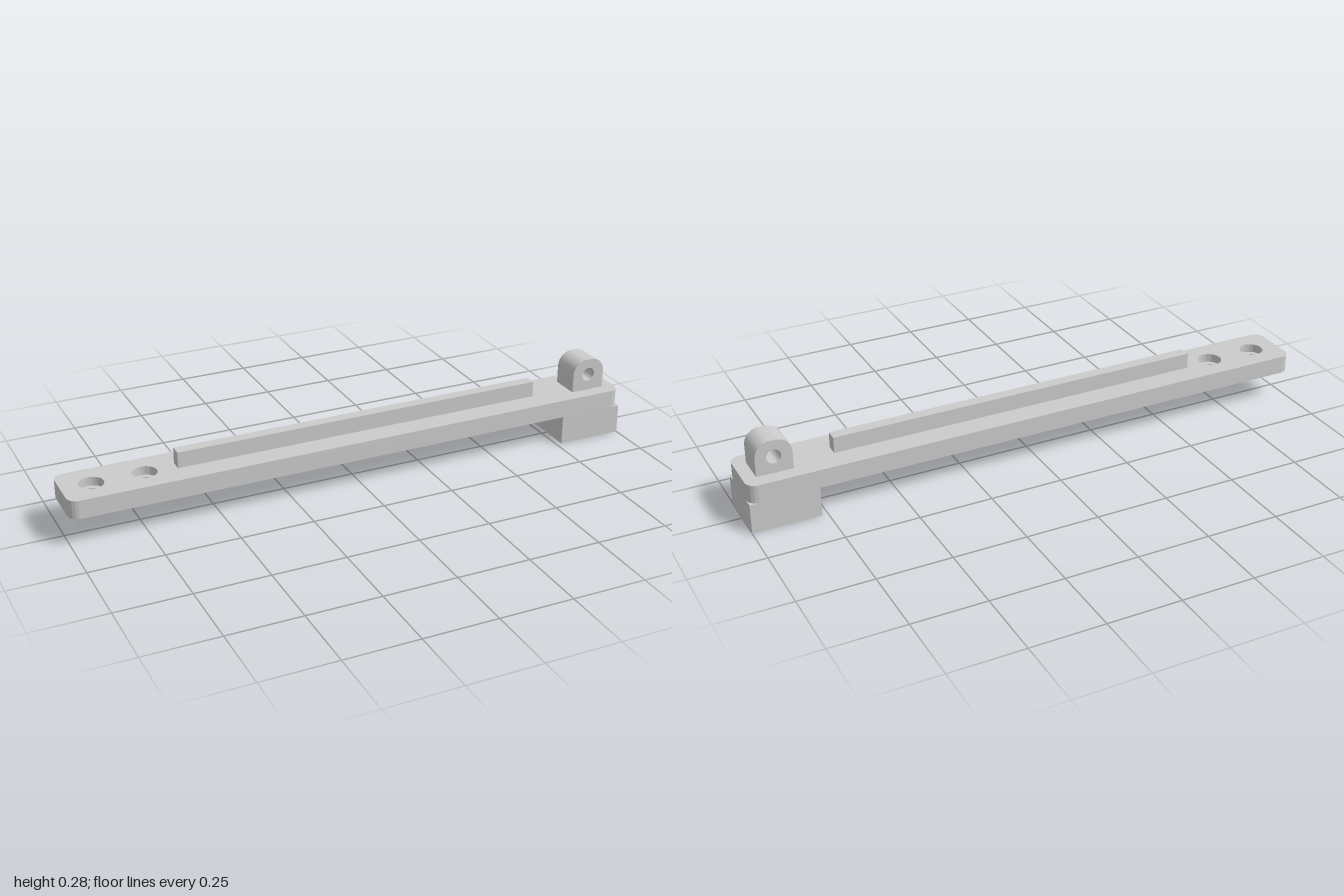
import * as THREE from 'three';
import { toCreasedNormals } from 'three/addons/utils/BufferGeometryUtils.js';

const material = new THREE.MeshStandardMaterial({ color: 0xcccccc });
const PLATE_BOTTOM = 0.102, PLATE_TOP = 0.165;
const HOLE_XS = [-0.9, -0.725];

function part(name, geometry, x = 0, y = 0, z = 0) {
  const mesh = new THREE.Mesh(toCreasedNormals(geometry, 0.6), material);
  mesh.name = name;
  mesh.position.set(x, y, z);
  return mesh;
}

function addHole(shape, x, y, r) {
  shape.holes.push(new THREE.Path().absarc(x, y, r, 0, Math.PI * 2, true));
}

function extrude(shape, depth) {
  return new THREE.ExtrudeGeometry(shape, { depth, bevelEnabled: false, curveSegments: 24 });
}

// Long bar with rounded vertical corners and two screw holes
function plateGeometry() {
  const r = 0.035, w = 1, d = 0.1;
  const s = new THREE.Shape();
  s.absarc(w - r, d - r, r, 0, Math.PI / 2);
  s.absarc(-w + r, d - r, r, Math.PI / 2, Math.PI);
  s.absarc(-w + r, -d + r, r, Math.PI, Math.PI * 1.5);
  s.absarc(w - r, -d + r, r, Math.PI * 1.5, Math.PI * 2);
  HOLE_XS.forEach((x) => addHole(s, x, 0, 0.041));
  return extrude(s, PLATE_TOP - PLATE_BOTTOM).rotateX(-Math.PI / 2);
}

// Ledge that narrows the lower half of a screw hole
function ledgeGeometry() {
  const inner = 0.024, outer = 0.041, h = 0.033;
  const profile = [[outer, h], [inner, h], [inner, 0], [outer, 0]];
  return new THREE.LatheGeometry(profile.map(([x, y]) => new THREE.Vector2(x, y)), 48);
}

// Upright eyelet with rounded top and a cross hole
function lugGeometry() {
  const w = 0.061, h = 0.115, r = 0.052, depth = 0.102;
  const s = new THREE.Shape();
  s.moveTo(-w, 0);
  s.lineTo(w, 0);
  s.absarc(w - r, h - r, r, 0, Math.PI / 2);
  s.absarc(-w + r, h - r, r, Math.PI / 2, Math.PI);
  s.closePath();
  addHole(s, 0, 0.058, 0.024);
  return extrude(s, depth).translate(0, 0, -depth / 2);
}

export function createModel() {
  const group = new THREE.Group();
  group.name = 'slottedArm';

  group.add(part('plate', plateGeometry(), 0, PLATE_BOTTOM));
  HOLE_XS.forEach((x) => group.add(part('screwHoleLedge', ledgeGeometry(), x, PLATE_BOTTOM)));

  // Square foot under the left end
  group.add(part('footBlock', new THREE.BoxGeometry(0.23, PLATE_BOTTOM, 0.2), 0.885, PLATE_BOTTOM / 2));

  // Narrow rib along the top
  group.add(part('rib', new THREE.BoxGeometry(1.31, 0.055, 0.04), 0.035, PLATE_TOP + 0.0275));

  group.add(part('lug', lugGeometry(), 0.896, PLATE_TOP));
  return group;
}
